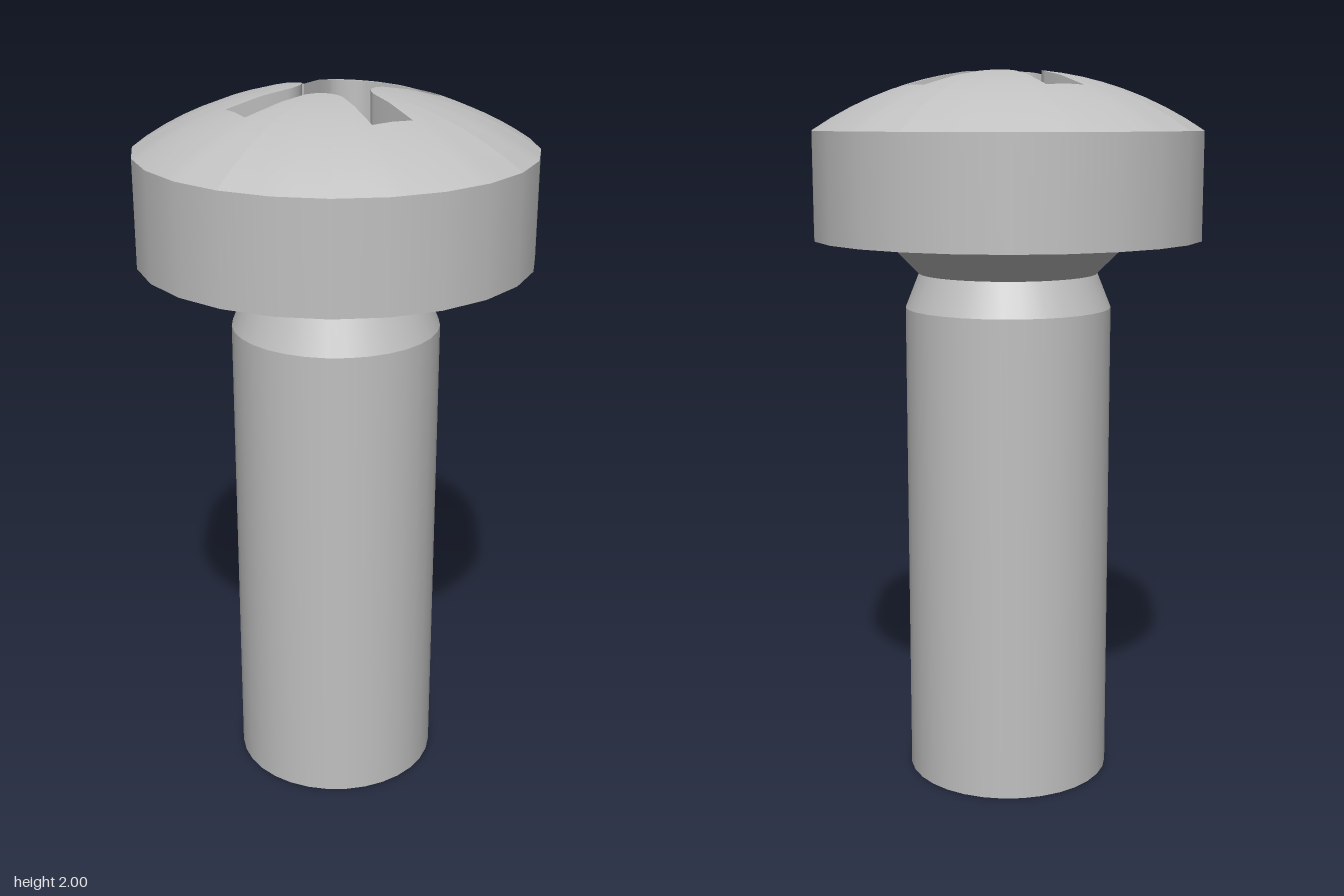
import * as THREE from 'three';
import { toCreasedNormals } from 'three/addons/utils/BufferGeometryUtils.js';

const HEAD_R = 0.54, RIM_Y = 1.84, APEX_Y = 2.0045, FLOOR_Y = 1.77, SIDES = 24;
const STEP = (Math.PI * 2) / SIDES;

// One eighth of the cross recess: arm end, flared arm wall, rounded inner corner
const octant = [[0.29, 0], [0.29, 0.058]];
for (let i = 0; i <= 6; i++) {
  const a = -Math.PI / 2 - 0.095 - (i / 6) * (Math.PI / 4 - 0.095);
  octant.push([0.1255 + 0.081 * Math.cos(a), 0.1255 + 0.081 * Math.sin(a)]);
}
const angleOf = ([x, z]) => Math.atan2(z, x);

// Distance from the axis to the recess outline at an angle
function recessRadius(theta) {
  const quarter = Math.PI / 2;
  let t = ((theta % quarter) + quarter) % quarter;
  if (t > quarter / 2) t = quarter - t;
  let i = 0;
  while (i < octant.length - 2 && angleOf(octant[i + 1]) < t - 1e-9) i++;
  const [ax, az] = octant[i], [bx, bz] = octant[i + 1];
  return (ax * bz - az * bx) / (Math.cos(t) * (bz - az) - Math.sin(t) * (bx - ax));
}

// Distance from the axis to the many-sided head rim at an angle
function rimRadius(theta) {
  const t = ((theta % STEP) + STEP) % STEP;
  return (HEAD_R * Math.cos(STEP / 2)) / Math.cos(t - STEP / 2);
}

// Spherical cap height, with its edge lying on the rim
const SAG = APEX_Y - RIM_Y;
const SPHERE_R = (HEAD_R ** 2 + SAG ** 2) / (2 * SAG);
function domeY(r, theta) {
  const rho = (r / rimRadius(theta)) * HEAD_R;
  return APEX_Y - SPHERE_R + Math.sqrt(SPHERE_R ** 2 - rho ** 2);
}

// All angles where the recess outline or the rim has a corner
const eighth = [...octant.map(angleOf), STEP, STEP * 2];
const angles = [];
for (let q = 0; q < 4; q++) {
  for (const a of eighth) angles.push((q * Math.PI) / 2 + a, ((q + 1) * Math.PI) / 2 - a);
}
angles.sort((a, b) => a - b);
const thetas = angles.filter((a, i) => (i === 0 || a - angles[i - 1] > 1e-5) && a < Math.PI * 2 - 1e-5);

// Closed band around the axis; point(k, theta) returns [radius, height]
function band(rows, point) {
  const pos = [], index = [], n = thetas.length;
  for (let k = 0; k <= rows; k++) {
    for (const t of thetas) {
      const [r, y] = point(k / rows, t);
      pos.push(r * Math.cos(t), y, r * Math.sin(t));
    }
  }
  for (let k = 0; k < rows; k++) {
    for (let j = 0; j < n; j++) {
      const a = k * n + j, b = k * n + ((j + 1) % n);
      index.push(a, b, a + n, b, b + n, a + n);
    }
  }
  const geo = new THREE.BufferGeometry();
  geo.setAttribute('position', new THREE.Float32BufferAttribute(pos, 3));
  geo.setIndex(index);
  geo.computeVertexNormals();
  return geo;
}

export function createModel() {
  const steel = new THREE.MeshStandardMaterial({ color: 0xc0c0c0 });
  steel.name = 'steel';
  const model = new THREE.Group();
  model.name = 'screw';

  const add = (name, geo) => {
    const mesh = new THREE.Mesh(geo, steel);
    mesh.name = name;
    model.add(mesh);
  };
  // One turned section between two [radius, height] points
  const turned = (name, from, to, sides) =>
    add(name, new THREE.LatheGeometry([new THREE.Vector2(...from), new THREE.Vector2(...to)], sides));

  // Shank and neck
  turned('shankEnd', [0, 0], [0.288, 0], 32);
  turned('shank', [0.288, 0], [0.288, 1.355], 32);
  turned('shankTaper', [0.288, 1.355], [0.25, 1.45], 32);
  turned('neckFlare', [0.25, 1.45], [0.346, 1.547], 32);

  // Head
  turned('headUnderside', [0.33, 1.547], [HEAD_R, 1.547], SIDES);
  turned('headSide', [HEAD_R, 1.547], [HEAD_R, RIM_Y], SIDES);
  add('headDome', band(8, (k, t) => {
    const r = THREE.MathUtils.lerp(recessRadius(t), rimRadius(t), k);
    return [r, domeY(r, t)];
  }));

  // Cross recess
  add('recessWalls', toCreasedNormals(band(1, (k, t) => {
    const r = recessRadius(t);
    return [r, k ? domeY(r, t) : FLOOR_Y];
  }), 0.6));
  add('recessFloor', band(1, (k, t) => [k * recessRadius(t), FLOOR_Y]));

  return model;
}
